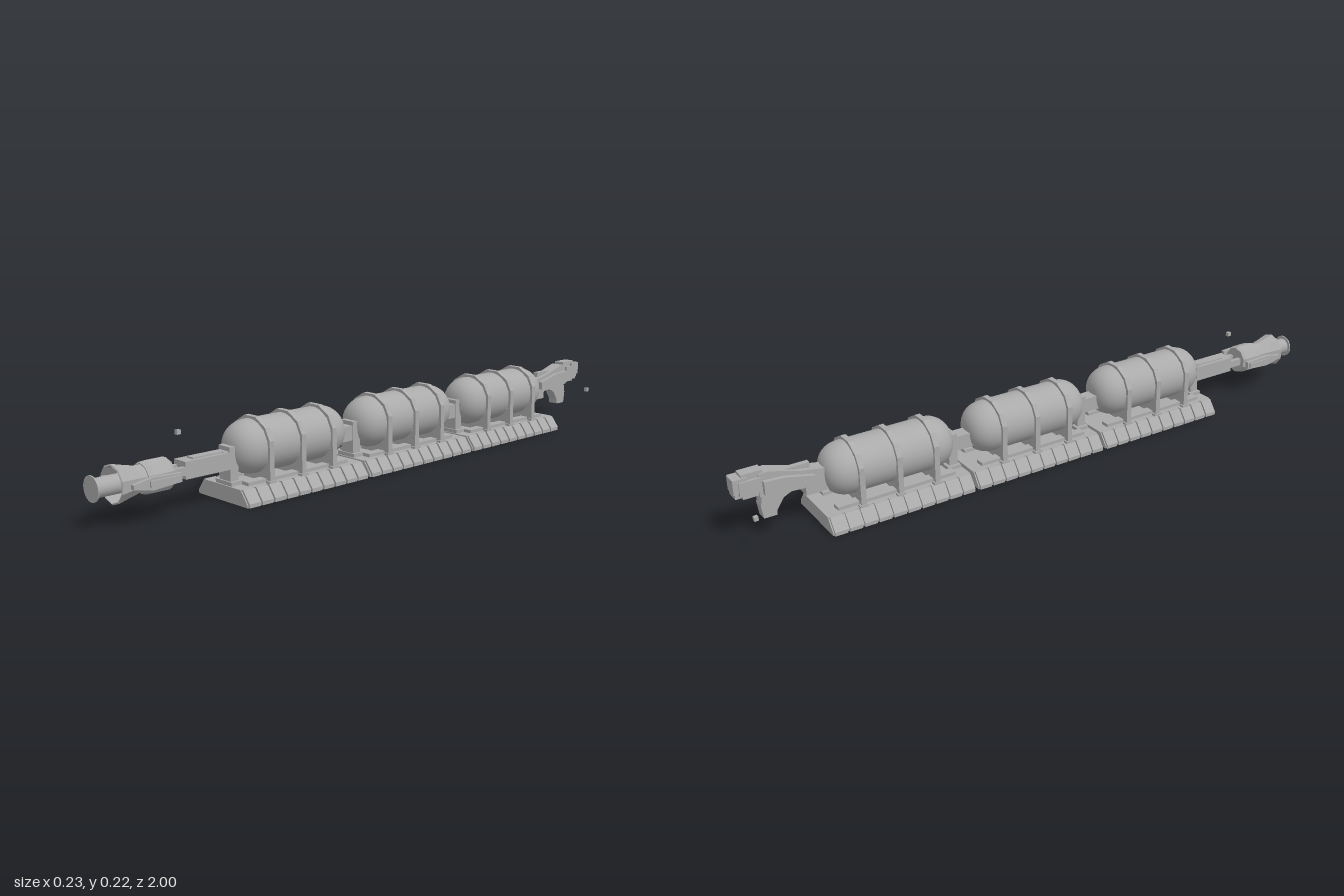
import * as THREE from 'three';

const metal = new THREE.MeshStandardMaterial({ color: 0xaaaaaa });
metal.name = 'grey metal';
const openMetal = new THREE.MeshStandardMaterial({ color: 0xaaaaaa, side: THREE.DoubleSide });
openMetal.name = 'grey metal sheet';

function add(parent, name, geometry, material = metal) {
  const mesh = new THREE.Mesh(geometry, material);
  mesh.name = name;
  parent.add(mesh);
  return mesh;
}

// Box from its limits on each axis
function box(parent, name, x0, x1, y0, y1, z0, z1) {
  const g = new THREE.BoxGeometry(x1 - x0, y1 - y0, z1 - z0);
  return add(parent, name, g.translate((x0 + x1) / 2, (y0 + y1) / 2, (z0 + z1) / 2));
}

const shapeOf = (pts) => new THREE.Shape(pts.map(([a, b]) => new THREE.Vector2(a, b)));

// Outline in x and y, extruded along z around zc
function crossSection(parent, name, pts, zc, depth) {
  const g = new THREE.ExtrudeGeometry(shapeOf(pts), { depth, bevelEnabled: false });
  return add(parent, name, g.translate(0, 0, zc - depth / 2));
}

// Outline in z and y, extruded along x around xc
function sideProfile(parent, name, pts, xc, width) {
  const g = new THREE.ExtrudeGeometry(shapeOf(pts), { depth: width, bevelEnabled: false });
  g.translate(0, 0, -width / 2).rotateY(-Math.PI / 2);
  return add(parent, name, g.translate(xc, 0, 0));
}

// Profile of [radius, z] turned about the z axis at height y
function turned(parent, name, pts, y, sides, flat, material = metal) {
  let g = new THREE.LatheGeometry(pts.map(([r, z]) => new THREE.Vector2(r, z)), sides);
  g.rotateX(Math.PI / 2).translate(0, y, 0);
  if (flat) {
    g = g.toNonIndexed();
    g.computeVertexNormals();
  }
  return add(parent, name, g, material);
}

// One cargo section: sled, tank, straps and front coupling, centred on z = 0
function cargoSection() {
  const section = new THREE.Group();
  section.name = 'cargoSection';
  const half = 0.224;
  crossSection(section, 'sledCore',
    [[-0.107, 0], [0.107, 0], [0.107, 0.008], [0.082, 0.042], [-0.082, 0.042], [-0.107, 0.008]], 0, half * 2);
  box(section, 'deck', -0.078, 0.078, 0.04, 0.045, -half, half);

  // Sloping blocks along both edges of the sled
  const count = 10, pitch = (half * 2) / count;
  for (let i = 0; i < count; i++) {
    const z = -half + pitch * (i + 0.5);
    for (const s of [-1, 1]) {
      const pts = [[0.07, 0], [0.113, 0], [0.113, 0.011], [0.087, 0.045], [0.07, 0.045]].map(([x, y]) => [x * s, y]);
      crossSection(section, 'edgeBlock', pts, z, pitch - 0.007);
    }
  }

  // Tank with rounded ends
  const cap = [];
  for (let i = 0; i <= 12; i++) {
    const a = (i / 12) * Math.PI / 2;
    cap.push([0.077 * Math.pow(Math.sin(a), 0.8), 0.128 + 0.072 * Math.pow(Math.cos(a), 0.95)]);
  }
  cap[0][0] = 0;
  const tank = [...cap.map(([r, z]) => [r, -z]), ...cap.slice().reverse()];
  turned(section, 'tank', tank, 0.138, 40, false);

  // Straps that arch over the tank, each with a cradle plate
  for (const z of [-0.116, 0, 0.116]) {
    const outer = [[0.084, 0.045], [0.084, 0.163], [0.065, 0.198], [0.024, 0.222]];
    const inner = [[0.018, 0.212], [0.059, 0.191], [0.075, 0.16], [0.075, 0.045]];
    const mirror = (pts) => pts.map(([x, y]) => [-x, y]).reverse();
    crossSection(section, 'strap', [...outer, ...mirror(outer), ...mirror(inner), ...inner], z, 0.016);
    box(section, 'cradle', -0.076, 0.076, 0.045, 0.1, z - 0.005, z + 0.005);
    for (const s of [-1, 1]) box(section, 'strapFoot', s * 0.079 - 0.008, s * 0.079 + 0.008, 0.04, 0.051, z - 0.013, z + 0.013);
  }
  for (const s of [-1, 1]) box(section, 'deckRail', s * 0.05 - 0.014, s * 0.05 + 0.014, 0.044, 0.055, -0.185, 0.185);

  // Front coupling post and rear coupling
  box(section, 'couplingPost', -0.025, 0.025, 0.044, 0.152, 0.187, 0.215);
  box(section, 'postFoot', -0.035, 0.035, 0.044, 0.056, 0.178, 0.22);
  box(section, 'frontCoupling', -0.02, 0.02, 0.095, 0.14, 0.18, 0.232);
  box(section, 'rearCoupling', -0.022, 0.022, 0.095, 0.14, -0.255, -0.18);
  return section;
}

// Engine on a beam at the front end
function engine() {
  const g = new THREE.Group();
  g.name = 'engine';
  const y = 0.112;
  box(g, 'towBeam', -0.026, 0.026, 0.09, 0.138, 0.58, 0.732);
  box(g, 'beamRidge', -0.014, 0.014, 0.136, 0.142, 0.6, 0.7);
  for (const s of [-1, 1]) box(g, 'fork', s * 0.019 - 0.007, s * 0.019 + 0.007, 0.101, 0.124, 0.73, 0.79);
  turned(g, 'engineBody', [[0, 0.775], [0.042, 0.775], [0.046, 0.785], [0.046, 0.84], [0.041, 0.855], [0, 0.855]], y, 10, true);
  turned(g, 'nozzleBell', [[0.038, 0.85], [0.038, 0.875], [0.045, 0.905], [0.054, 0.94], [0.05, 0.942], [0.038, 0.89], [0, 0.88]],
    y, 10, true, openMetal);
  turned(g, 'plug', [[0.026, 0.87], [0.026, 0.998]], y, 28, false, openMetal);
  const disc = new THREE.CylinderGeometry(0.035, 0.035, 0.004, 28).rotateX(Math.PI / 2).translate(0, y, 0.998);
  add(g, 'plugDisc', disc);

  // Tapered pods on either side
  for (const s of [-1, 1]) {
    sideProfile(g, 'sidePod', [[0.772, 0.1], [0.86, 0.094], [0.918, 0.106], [0.918, 0.118], [0.86, 0.128], [0.772, 0.124]], s * 0.06, 0.012);
    box(g, 'podCap', s * 0.066 - 0.005, s * 0.066 + 0.005, 0.104, 0.12, 0.78, 0.87);
    box(g, 'podMount', s * 0.05 - 0.012, s * 0.05 + 0.012, 0.106, 0.118, 0.79, 0.825);
  }
  return g;
}

// Cabin and hook at the rear end
function tail() {
  const g = new THREE.Group();
  g.name = 'tail';
  sideProfile(g, 'tailArm', [[-0.74, 0.115], [-0.85, 0.122], [-0.93, 0.13], [-0.93, 0.198], [-0.9, 0.2], [-0.82, 0.176], [-0.74, 0.162]], 0, 0.042);
  for (const s of [-1, 1]) {
    sideProfile(g, 'armPlate', [[-0.775, 0.13], [-0.92, 0.138], [-0.92, 0.178], [-0.86, 0.175], [-0.775, 0.155]], s * 0.027, 0.014);
  }
  sideProfile(g, 'hook', [[-0.83, 0.125], [-0.865, 0.108], [-0.885, 0.078], [-0.888, 0.062], [-0.925, 0.062], [-0.93, 0.1], [-0.922, 0.14], [-0.83, 0.14]], 0, 0.034);
  box(g, 'head', -0.017, 0.017, 0.135, 0.208, -0.975, -0.915);
  box(g, 'headCross', -0.026, 0.026, 0.15, 0.19, -0.985, -0.925);
  box(g, 'headTip', -0.022, 0.022, 0.158, 0.2, -1, -0.96);
  box(g, 'lowerTip', -0.014, 0.014, 0.14, 0.16, -0.995, -0.96);
  box(g, 'topRidge', -0.008, 0.008, 0.17, 0.186, -0.86, -0.78);
  return g;
}

export function createModel() {
  const model = new THREE.Group();
  model.name = 'cargoTrain';
  for (const z of [0.371, -0.088, -0.547]) {
    const section = cargoSection();
    section.position.z = z;
    model.add(section);
  }
  model.add(engine(), tail());

  // Small free-floating beacons
  for (const [x, y, z] of [[0, 0.215, 0.735], [-0.084, 0.111, -0.97], [0.084, 0.111, -0.97]]) {
    box(model, 'beacon', x - 0.006, x + 0.006, y - 0.006, y + 0.006, z - 0.006, z + 0.006);
  }
  return model;
}
